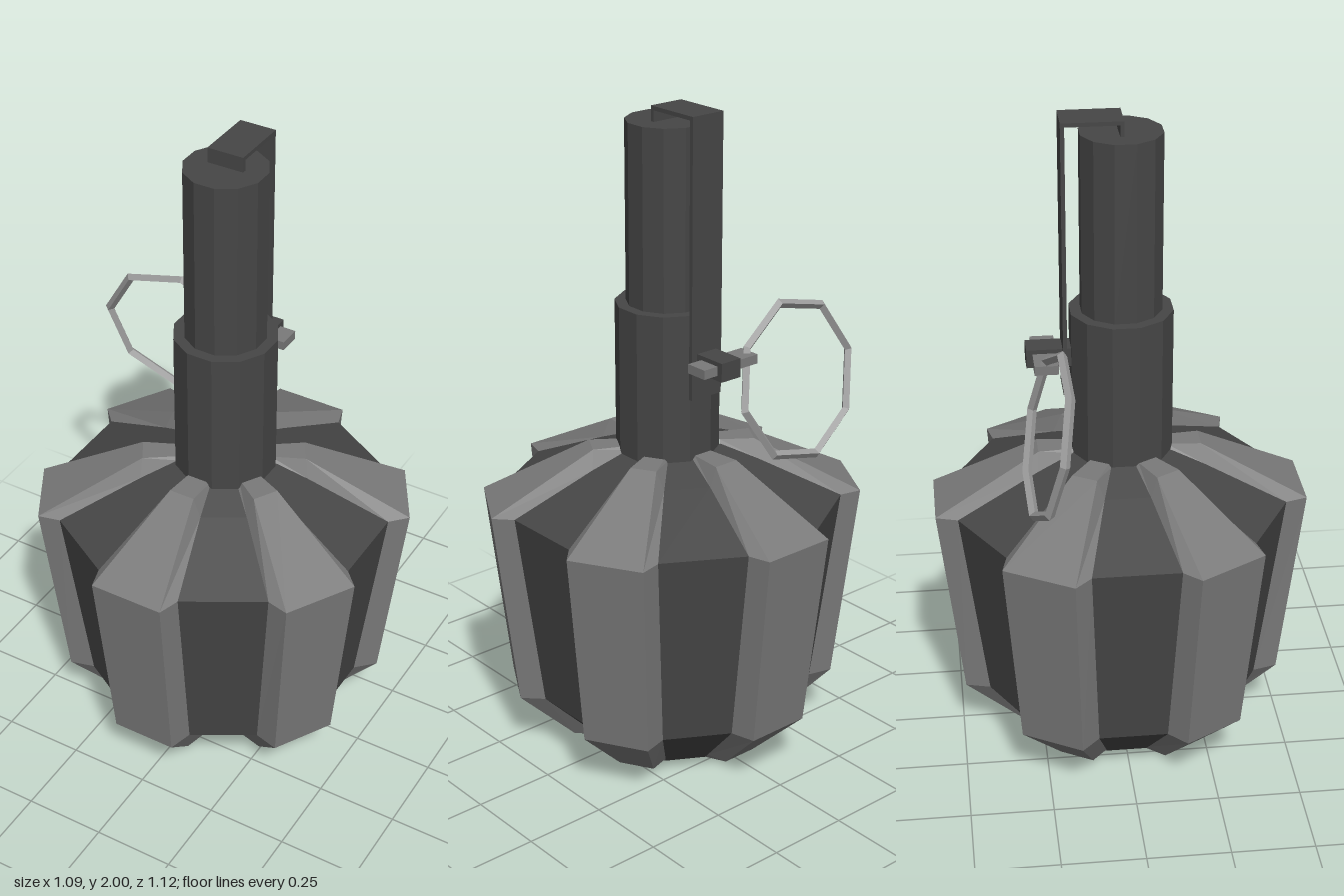
import * as THREE from 'three';

const flat = (name, color) => {
  const m = new THREE.MeshStandardMaterial({ color });
  m.name = name;
  return m;
};

export function createModel() {
  const model = new THREE.Group();
  const dark = flat('darkMetal', 0x464646);
  const grey = flat('ribGrey', 0x7a7a7a);
  const light = flat('ringSteel', 0x9c9c9c);

  const add = (name, geometry, material, x = 0, y = 0, z = 0) => {
    const mesh = new THREE.Mesh(geometry, material);
    mesh.name = name;
    mesh.position.set(x, y, z);
    model.add(mesh);
    return mesh;
  };

  // Point at distance a along the outward direction phi, shifted sideways by s
  const point = (phi, y, a, s) => [
    a * Math.sin(phi) + s * Math.cos(phi), y,
    a * Math.cos(phi) - s * Math.sin(phi),
  ];

  // Non-indexed faces give hard facets
  const facets = (positions) => {
    const g = new THREE.BufferGeometry();
    g.setAttribute('position', new THREE.Float32BufferAttribute(positions.flat(), 3));
    g.computeVertexNormals();
    return g;
  };

  // Skin of rows listed from the bottom up, each running left to right
  const skin = (rows) => {
    const out = [];
    for (let r = 0; r < rows.length - 1; r++) {
      for (let i = 0; i < rows[r].length - 1; i++) {
        const a = rows[r][i], b = rows[r][i + 1];
        const c = rows[r + 1][i + 1], d = rows[r + 1][i];
        out.push(a, b, c, a, c, d);
      }
    }
    return facets(out);
  };

  // Body sections: height, distance from axis, half width
  const ribLevels = [
    [0, 0.24, 0.045], [0.02, 0.32, 0.055], [0.19, 0.49, 0.1],
    [0.81, 0.56, 0.115], [0.975, 0.245, 0.04], [0.975, 0.14, 0.03],
  ];
  const grooveLevels = [
    [0, 0.235, 0.062], [0.02, 0.255, 0.066], [0.19, 0.42, 0.104],
    [0.81, 0.495, 0.13], [0.92, 0.25, 0.068], [0.965, 0.14, 0.037],
  ];

  // Six raised ribs alternating with six grooves
  const base = [];
  const cx = 0.004;
  for (let k = 0; k < 6; k++) {
    const phi = k * Math.PI / 3, half = Math.PI / 6;
    const ribRows = ribLevels.map(([y, a, b], i) => {
      const [gy, ga, gb] = grooveLevels[i];
      return [
        point(phi - half, gy, ga, gb), point(phi, y, a, -b),
        point(phi, y, a, b), point(phi + half, gy, ga, -gb),
      ];
    });
    const grooveRows = grooveLevels.map(([y, a, b]) =>
      [point(phi + half, y, a, -b), point(phi + half, y, a, b)]);
    add('bodyRib' + (k + 1), skin(ribRows), grey, cx);
    add('bodyGroove' + (k + 1), skin(grooveRows), dark, cx);
    base.push(...ribRows[0]);
  }

  // Underside
  const fan = [];
  base.forEach((p, i) => fan.push([0, 0, 0], base[(i + 1) % base.length], p));
  add('bodyBase', facets(fan), dark, cx);

  // Neck and upper tube, twelve-sided
  const tube = (name, radius, y0, y1) => {
    const g = new THREE.CylinderGeometry(radius, radius, y1 - y0, 12).toNonIndexed();
    g.rotateY(Math.PI / 12);
    g.computeVertexNormals();
    add(name, g, dark, 0.014, (y0 + y1) / 2, 0.008);
  };
  tube('neck', 0.155, 0.94, 1.415);
  tube('upperTube', 0.122, 1.41, 1.955);

  // Box given by its lower and upper corners
  const box = (name, material, [x0, y0, z0], [x1, y1, z1]) =>
    add(name, new THREE.BoxGeometry(x1 - x0, y1 - y0, z1 - z0), material,
      (x0 + x1) / 2, (y0 + y1) / 2, (z0 + z1) / 2);

  // Lever bent over the top and down the back
  box('leverTop', dark, [-0.042, 1.988, -0.167], [0.07, 2, 0.012]);
  box('leverLip', dark, [-0.042, 1.95, 0], [0.07, 1.99, 0.012]);
  box('leverStrip', dark, [-0.042, 1.165, -0.167], [0.07, 1.99, -0.155]);

  // Pin block and cross bar
  box('pinBlock', dark, [-0.022, 1.248, -0.273], [0.05, 1.305, -0.13]);
  box('pinCrossBar', grey, [-0.105, 1.264, -0.255], [0.1, 1.292, -0.185]);

  // Tilted eight-sided pull ring
  const ringGeometry = new THREE.TorusGeometry(0.242, 0.0145, 4, 8).toNonIndexed();
  ringGeometry.computeVertexNormals();
  const ring = add('pullRing', ringGeometry, light, -0.29, 1.162, -0.233);
  ring.rotation.set(0.21, 0.09, THREE.MathUtils.degToRad(82), 'YXZ');

  return model;
}
